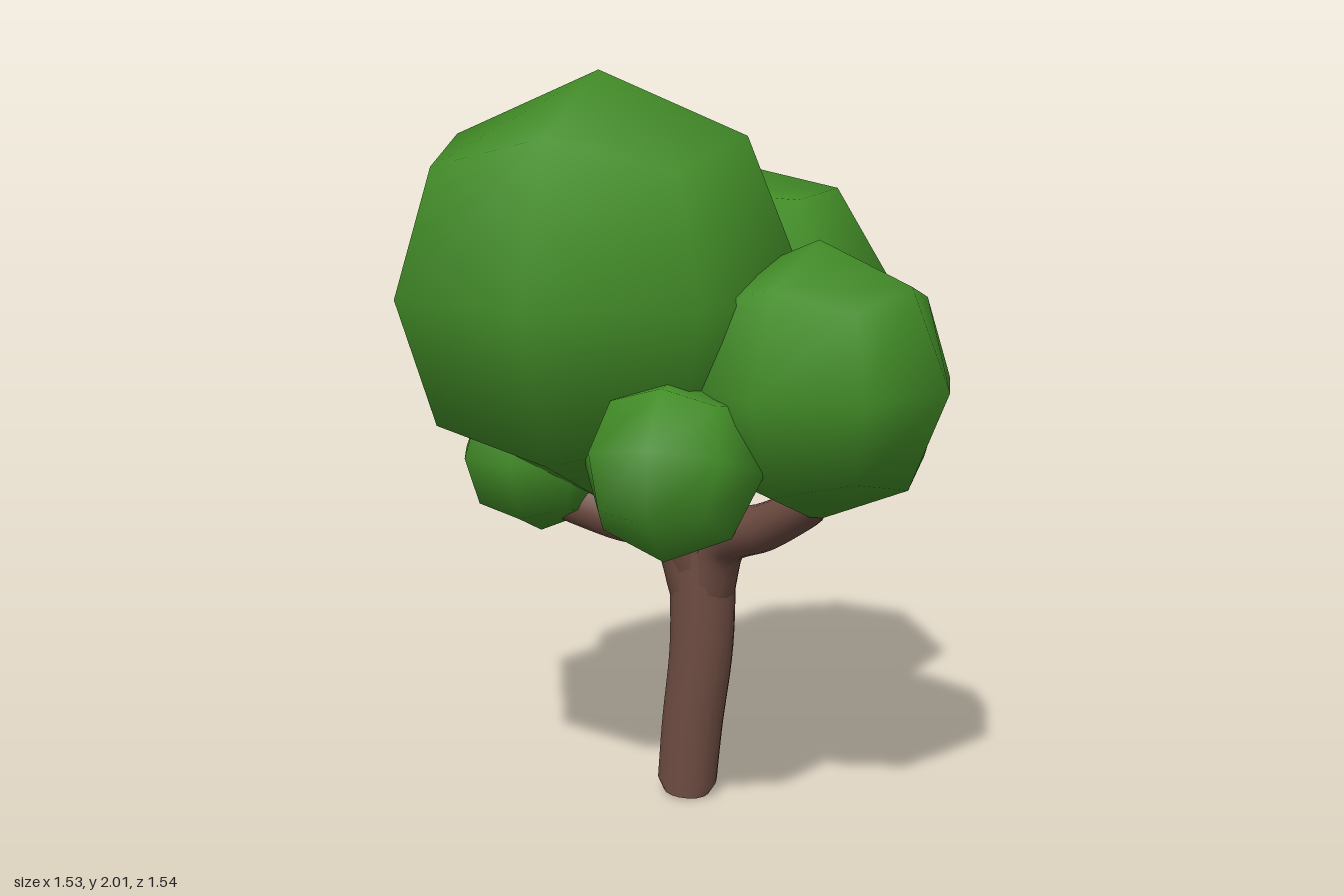
import * as THREE from 'three';

const leafGreen = new THREE.MeshStandardMaterial({ name: 'leafGreen', color: 0x428c27 });
const barkBrown = new THREE.MeshStandardMaterial({ name: 'barkBrown', color: 0x6d4c41 });

// Coarse ball: a 2x2x2 box pushed out to a sphere, with smooth normals
function foliage(name, radius, position, rotation = [0, 0, 0]) {
  const geometry = new THREE.BoxGeometry(2, 2, 2, 2, 2, 2);
  const p = geometry.attributes.position;
  const v = new THREE.Vector3();
  for (let i = 0; i < p.count; i++) {
    v.fromBufferAttribute(p, i).normalize();
    geometry.attributes.normal.setXYZ(i, v.x, v.y, v.z);
    p.setXYZ(i, v.x * radius, v.y * radius, v.z * radius);
  }
  const mesh = new THREE.Mesh(geometry, leafGreen);
  mesh.name = name;
  mesh.position.set(...position);
  mesh.rotation.set(...rotation);
  return mesh;
}

// Round limb along a smooth path; radiusAt(t) sets the thickness
function limb(name, points, radiusAt) {
  const rings = 24, sides = 16;
  const curve = new THREE.CatmullRomCurve3(points.map((q) => new THREE.Vector3(...q)));
  const geometry = new THREE.TubeGeometry(curve, rings, 1, sides);
  const p = geometry.attributes.position;
  const v = new THREE.Vector3();
  for (let i = 0; i < p.count; i++) {
    const t = Math.floor(i / (sides + 1)) / rings;
    const c = curve.getPointAt(t);
    v.fromBufferAttribute(p, i).sub(c).multiplyScalar(radiusAt(t)).add(c);
    p.setXYZ(i, v.x, v.y, v.z);
  }
  const mesh = new THREE.Mesh(geometry, barkBrown);
  mesh.name = name;
  return mesh;
}

// Taper from one radius to another, closing in a rounded tip
const taper = (from, to) => (t) =>
  THREE.MathUtils.lerp(from, to, t) * Math.sqrt(Math.max(0, 1 - Math.max(0, (t - 0.88) / 0.12) ** 2));

export function createModel() {
  const tree = new THREE.Group();
  tree.name = 'tree';

  // Trunk, slightly curved, with a narrowed foot
  const trunkRadius = taper(0.083, 0.095);
  tree.add(limb('trunk',
    [[-0.01, 0, 0.06], [0.008, 0.2, 0.06], [0.034, 0.42, 0.06], [0.038, 0.6, 0.06], [0.03, 0.86, 0.06]],
    (t) => trunkRadius(t) * (t === 0 ? 0.78 : 1)));
  const foot = new THREE.Mesh(new THREE.CircleGeometry(0.065, 16), barkBrown);
  foot.name = 'trunkFoot';
  foot.position.set(-0.01, 0.003, 0.06);
  foot.rotation.x = Math.PI / 2;
  tree.add(foot);

  // Branches
  tree.add(
    limb('leftBranch', [[0.04, 0.58, 0.06], [0.1, 0.74, 0.09], [0.25, 0.81, 0.18], [0.43, 0.92, 0.3]], taper(0.085, 0.05)),
    limb('rightBranch', [[0.035, 0.58, 0.06], [-0.04, 0.76, 0.07], [-0.2, 0.79, 0.08], [-0.42, 0.84, 0.06]], taper(0.085, 0.06)),
    limb('backBranch', [[0.035, 0.58, 0.06], [0, 0.75, 0], [-0.12, 0.79, -0.14], [-0.29, 0.86, -0.35]], taper(0.085, 0.04)),
    limb('upperBranch', [[0.035, 0.66, 0.06], [-0.03, 0.82, 0.09], [-0.16, 1.05, 0.14]], taper(0.09, 0.06)));

  // Leaf clumps
  tree.add(
    foliage('mainFoliage', 0.57, [-0.2, 1.43, 0.21]),
    foliage('backFoliage', 0.45, [0.045, 1.31, -0.32], [-0.18, 0, 0.18]),
    foliage('leftFoliage', 0.36, [0.41, 1.22, 0.28], [0, -0.22, 0]),
    foliage('rightBackFoliage', 0.29, [-0.47, 1.08, -0.4], [-0.1, -0.16, 0]),
    foliage('frontFoliage', 0.235, [0.11, 1.03, 0.54], [-0.35, 0, 0]),
    foliage('rightLowFoliage', 0.225, [-0.44, 0.95, 0.06]));
  return tree;
}
